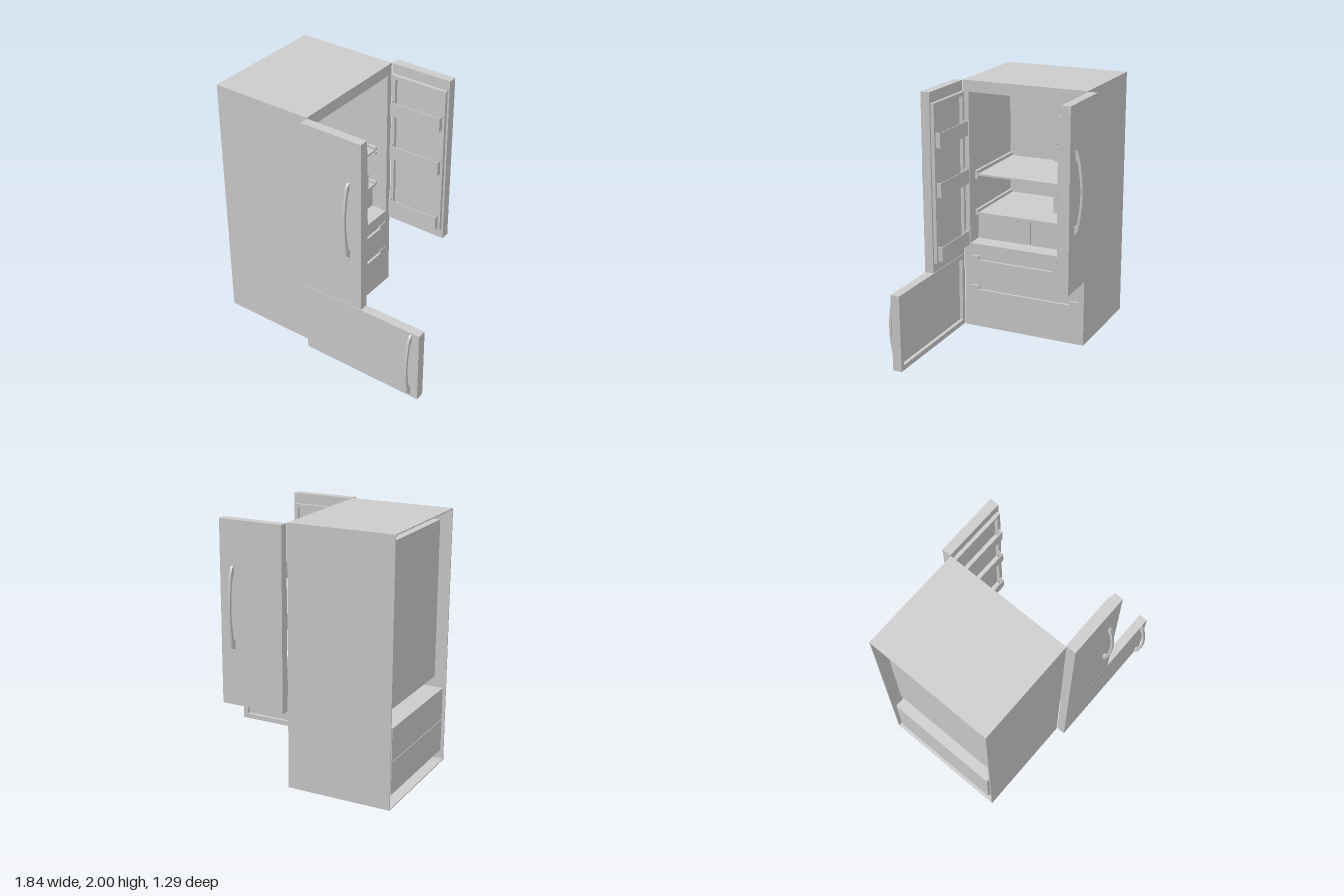
import * as THREE from 'three';

const mat = new THREE.MeshStandardMaterial({ color: 0xcccccc, side: THREE.DoubleSide });

export function createModel() {
  const model = new THREE.Group();
  model.name = 'refrigerator';

  const part = (parent, name) => {
    const g = new THREE.Group();
    g.name = name;
    parent.add(g);
    return g;
  };
  // box from its minimum and maximum on each axis
  const box = (parent, name, x0, x1, y0, y1, z0, z1) => {
    const m = new THREE.Mesh(new THREE.BoxGeometry(x1 - x0, y1 - y0, Math.abs(z1 - z0)), mat);
    m.position.set((x0 + x1) / 2, (y0 + y1) / 2, (z0 + z1) / 2);
    m.name = name;
    parent.add(m);
    return m;
  };
  const rect = (P, u0, u1, v0, v1) => {
    const p = new P();
    p.moveTo(u0, v0).lineTo(u1, v0).lineTo(u1, v1).lineTo(u0, v1).closePath();
    return p;
  };

  // outer shell, open at its rear
  const shell = part(model, 'cabinetShell');
  const T = 0.008;
  box(shell, 'topPanel', -0.92, -0.1, 2 - T, 2, -0.51, 0.51);
  box(shell, 'bottomPanel', -0.92, -0.1, 0, T, -0.51, 0.51);
  for (const s of [1, -1]) box(shell, 'sidePanel', -0.92, -0.1, T, 2 - T, s * (0.51 - T), s * 0.51);

  // face frame with the compartment opening and two drawer slots with finger grips
  const face = rect(THREE.Shape, -0.505, 0.505, 0.004, 1.996);
  face.holes.push(rect(THREE.Path, -0.46, 0.46, 0.7, 1.91));
  for (const y of [0.605, 0.355]) {
    const slot = new THREE.Path();
    slot.moveTo(-0.465, y).lineTo(0.465, y).lineTo(0.465, y - 0.008).lineTo(0.39, y - 0.008)
      .lineTo(0.39, y - 0.04).lineTo(-0.39, y - 0.04).lineTo(-0.39, y - 0.008).lineTo(-0.465, y - 0.008).closePath();
    face.holes.push(slot);
  }
  const faceGeo = new THREE.ExtrudeGeometry(face, { depth: 0.02, bevelEnabled: false });
  faceGeo.rotateY(Math.PI / 2).translate(-0.12, 0, 0);
  const frame = new THREE.Mesh(faceGeo, mat);
  frame.name = 'faceFrame';
  model.add(frame);

  // upper compartment liner
  const liner = part(model, 'compartmentLiner');
  const L = 0.006;
  box(liner, 'linerBack', -0.84, -0.84 + L, 0.7 - L, 1.91 + L, -0.466, 0.466);
  box(liner, 'linerCeiling', -0.84, -0.11, 1.91, 1.91 + L, -0.466, 0.466);
  box(liner, 'linerFloor', -0.84, -0.11, 0.7 - L, 0.7, -0.466, 0.466);
  for (const s of [1, -1]) box(liner, 'linerSide', -0.84, -0.11, 0.7, 1.91, s * 0.46, s * 0.466);

  // freezer drawers behind the face frame
  const freezer = part(model, 'freezerDrawers');
  box(freezer, 'lowerDrawer', -0.91, -0.135, 0.1, 0.35, -0.465, 0.465);
  box(freezer, 'upperDrawer', -0.91, -0.135, 0.355, 0.61, -0.465, 0.465);

  // shelves on side rails
  const shelves = part(model, 'shelves');
  box(shelves, 'glassShelf', -0.83, -0.2, 1.228, 1.243, -0.459, 0.459);
  box(shelves, 'crisperCover', -0.83, -0.2, 0.905, 0.927, -0.459, 0.459);
  for (const s of [1, -1]) {
    box(shelves, 'upperShelfRail', -0.83, -0.19, 1.243, 1.27, s * 0.437, s * 0.459);
    box(shelves, 'lowerShelfRail', -0.83, -0.19, 1.203, 1.228, s * 0.437, s * 0.459);
    box(shelves, 'crisperRail', -0.83, -0.19, 0.927, 0.95, s * 0.437, s * 0.459);
  }

  // pair of crisper drawers with a grip lip
  for (const s of [1, -1]) {
    const crisper = part(model, 'crisperDrawer');
    box(crisper, 'crisperBody', -0.8, -0.23, 0.705, 0.895, s * 0.004, s * 0.455);
    box(crisper, 'crisperGrip', -0.23, -0.205, 0.887, 0.903, s * 0.1, s * 0.365);
  }

  // bowed handle standing out from a door
  const handle = (parent, x, y0, y1, z, s) => {
    const h = y1 - y0, mid = (y0 + y1) / 2;
    const p = new THREE.Shape();
    p.moveTo(0, y0);
    p.bezierCurveTo(0.025, y0 + 0.01, 0.035, y0 + 0.05, 0.045, y0 + h * 0.2);
    p.bezierCurveTo(0.064, mid - h * 0.1, 0.064, mid + h * 0.1, 0.045, y1 - h * 0.2);
    p.bezierCurveTo(0.035, y1 - 0.05, 0.025, y1 - 0.01, 0, y1);
    p.lineTo(0, y1 - 0.065);
    p.bezierCurveTo(0.015, y1 - 0.07, 0.022, y1 - 0.08, 0.027, y1 - h * 0.2);
    p.bezierCurveTo(0.05, mid + h * 0.1, 0.05, mid - h * 0.1, 0.027, y0 + h * 0.2);
    p.bezierCurveTo(0.022, y0 + 0.08, 0.015, y0 + 0.07, 0, y0 + 0.065);
    p.closePath();
    const g = new THREE.ExtrudeGeometry(p, {
      depth: 0.014, bevelThickness: 0.003, bevelSize: 0.002, bevelSegments: 2, curveSegments: 12,
    });
    g.translate(0, 0, -0.007).rotateY(-s * Math.PI / 2).translate(x, 0, s * z);
    const m = new THREE.Mesh(g, mat);
    m.name = 'handle';
    parent.add(m);
  };
  // four-sided raised rim between za (door side) and zb
  const rim = (parent, x0, x1, y0, y1, za, zb, w) => {
    box(parent, 'rimBottom', x0, x1, y0, y0 + w, za, zb);
    box(parent, 'rimTop', x0, x1, y1 - w, y1, za, zb);
    box(parent, 'rimHingeSide', x0, x0 + w, y0 + w, y1 - w, za, zb);
    box(parent, 'rimHandleSide', x1 - w, x1, y0 + w, y1 - w, za, zb);
  };

  // upper doors, swung open on both sides, each with three bins
  for (const s of [1, -1]) {
    const door = part(model, s > 0 ? 'leftDoor' : 'rightDoor');
    const dx = s > 0 ? 0 : -0.004, z = s > 0 ? 0 : 0.005;
    box(door, 'doorPanel', -0.095 + dx, 0.41 + dx, 0.61, 1.997, s * (0.512 + z), s * (0.583 + z));
    rim(door, -0.078 + dx, 0.395 + dx, 0.685, 1.915, s * (0.512 + z), s * (0.485 + z), 0.03);
    for (const y of [0.7, 1.2, 1.58]) {
      const bin = part(door, 'doorBin');
      const y0 = y + (s > 0 ? 0 : 0.01), y1 = y0 + 0.115;
      const x0 = -0.065 + dx, x1 = 0.375 + dx, za = s * (0.512 + z), zb = s * (0.448 + z);
      box(bin, 'binFront', x0, x1, y0, y1, zb, zb + s * 0.006);
      box(bin, 'binFloor', x0, x1, y0, y0 + 0.008, zb + s * 0.006, za);
      box(bin, 'binEnd', x0, x0 + 0.008, y0, y1, zb + s * 0.006, za);
      box(bin, 'binEnd', x1 - 0.008, x1, y0, y1, zb + s * 0.006, za);
    }
    handle(door, 0.305 + dx, 1.042, 1.663, 0.582 + z, s);
  }

  // freezer door, swung open, with a recessed inner face
  const lower = part(model, 'freezerDoor');
  box(lower, 'doorPanel', -0.095, 0.915, 0.01, 0.606, 0.54, 0.583);
  rim(lower, -0.095, 0.915, 0.01, 0.606, 0.54, 0.512, 0.04);
  handle(lower, 0.845, 0.035, 0.59, 0.582, 1);

  return model;
}
